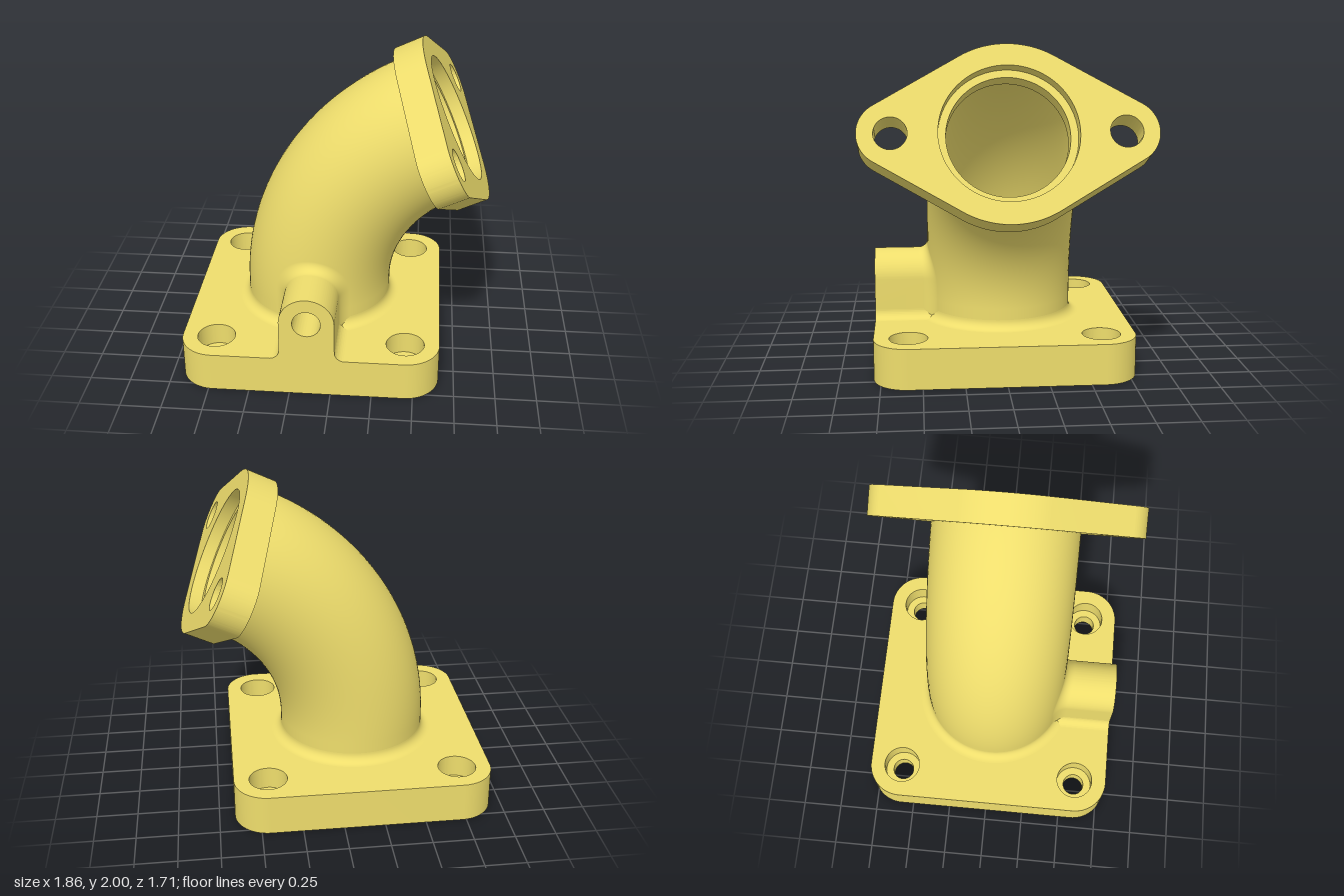
import * as THREE from 'three';
import { toCreasedNormals } from 'three/addons/utils/BufferGeometryUtils.js';
import { ParametricGeometry } from 'three/addons/geometries/ParametricGeometry.js';

const CX = -0.14;              // axis of the base and the pipe foot
const BASE_H = 0.25, BASE_HALF = 0.795;
const OUTER = 0.46, BORE = 0.4; // pipe radii
const BEND_R = 1.17, BEND_Y = 0.38, BEND = THREE.MathUtils.degToRad(65);
const FILLET = 0.06;
const BOSS_R = 0.167, BOSS_Y = 0.505;

const material = new THREE.MeshStandardMaterial({ color: 0xeedd6c, side: THREE.DoubleSide });

function mesh(name, geometry) {
  const m = new THREE.Mesh(geometry, material);
  m.name = name;
  return m;
}

function addHole(shape, x, y, r) {
  shape.holes.push(new THREE.Path().absarc(x, y, r, 0, Math.PI * 2, true));
}

function extrude(shape, depth) {
  const g = new THREE.ExtrudeGeometry(shape, { depth, bevelEnabled: false, curveSegments: 40 });
  return toCreasedNormals(g, 0.5);
}

function ring(outer, inner, depth) {
  const s = new THREE.Shape().absarc(0, 0, outer, 0, Math.PI * 2, false);
  addHole(s, 0, 0, inner);
  return extrude(s, depth);
}

// Square mounting plate with bore and four counterbored bolt holes
function makeBase() {
  const group = new THREE.Group();
  group.name = 'base';
  const r = 0.21, c = BASE_HALF - r, q = Math.PI / 2;
  const s = new THREE.Shape();
  [[c, c], [-c, c], [-c, -c], [c, -c]].forEach(([x, y], i) => s.absarc(x, y, r, i * q, (i + 1) * q, false));
  s.closePath();
  addHole(s, 0, 0, BORE);
  for (const x of [-0.585, 0.585]) for (const z of [-0.585, 0.585]) {
    addHole(s, x, z, 0.117);
    const seat = mesh('boltHoleSeat', ring(0.117, 0.068, 0.11).rotateX(-q));
    seat.position.set(x, 0, z);
    group.add(seat);
  }
  group.add(mesh('basePlate', extrude(s, BASE_H).rotateX(-q)));
  group.position.x = CX;
  return group;
}

// Pipe: short straight foot, then a 65 degree bend; outside and inside walls
function makePipe() {
  const group = new THREE.Group();
  group.name = 'pipe';
  const h = BEND_Y - BASE_H;
  for (const [label, r] of [['Outside', OUTER], ['Inside', BORE]]) {
    const foot = mesh('pipeFoot' + label, new THREE.CylinderGeometry(r, r, h, 80, 1, true));
    foot.position.set(CX, BASE_H + h / 2, 0);
    const bend = mesh('pipeBend' + label,
      new THREE.TorusGeometry(BEND_R, r, 80, 64, BEND).rotateZ(Math.PI - BEND));
    bend.position.set(CX + BEND_R, BEND_Y, 0);
    group.add(foot, bend);
  }
  // Rounded transition from plate to pipe
  const profile = [];
  for (let i = 0; i <= 10; i++) {
    const a = (i / 10) * Math.PI / 2;
    profile.push(new THREE.Vector2(
      OUTER + FILLET * (1 - Math.sin(a)), BASE_H + FILLET * (1 - Math.cos(a))));
  }
  const fillet = mesh('pipeFootFillet', new THREE.LatheGeometry(profile, 80));
  fillet.position.x = CX;
  group.add(fillet);
  return group;
}

// Two-bolt oval flange; local z is the pipe axis
function makeFlange() {
  const group = new THREE.Group();
  group.name = 'flange';
  const big = 0.53, small = 0.19, reach = 0.665, depth = 0.188;
  const t = Math.acos((big - small) / reach); // tangent point angle
  const s = new THREE.Shape();
  s.absarc(reach, 0, small, -t, t, false);
  s.absarc(0, 0, big, t, Math.PI - t, false);
  s.absarc(-reach, 0, small, Math.PI - t, Math.PI + t, false);
  s.absarc(0, 0, big, Math.PI + t, 2 * Math.PI - t, false);
  s.closePath();
  addHole(s, 0, 0, BORE);
  for (const x of [-reach, reach]) addHole(s, x, 0, 0.095);
  group.add(mesh('flangePlate', extrude(s, depth)));
  // Inner lip, recessed below the face
  group.add(mesh('flangeLip', ring(BORE, 0.355, depth - 0.08)));

  const axis = new THREE.Vector3(Math.sin(BEND), Math.cos(BEND), 0);
  const side = new THREE.Vector3(0, 0, -1);
  const up = new THREE.Vector3().crossVectors(axis, side);
  group.quaternion.setFromRotationMatrix(new THREE.Matrix4().makeBasis(side, up, axis));
  group.position.set(CX + BEND_R * (1 - Math.cos(BEND)), BEND_Y + BEND_R * Math.sin(BEND), 0);
  return group;
}

// Front z of the pipe's outside at a point (x from the pipe axis, y)
function pipeZ(x, y) {
  const d = y > BEND_Y ? BEND_R - Math.hypot(BEND_R - x, y - BEND_Y) : x;
  return Math.sqrt(Math.max(0, OUTER * OUTER - d * d));
}

// Arched boss on the front with a blind hole and rounded joints
function makeBoss() {
  const group = new THREE.Group();
  group.name = 'boss';
  const w = BOSS_R, f = FILLET, y0 = BASE_H, back = 0.403;
  const s = new THREE.Shape();
  s.moveTo(-w - f, y0);
  s.absarc(-w - f, y0 + f, f, -Math.PI / 2, 0, false);
  s.absarc(0, BOSS_Y, w, Math.PI, 0, true);
  s.absarc(w + f, y0 + f, f, Math.PI, Math.PI * 1.5, false);
  s.closePath();
  addHole(s, 0, BOSS_Y, 0.085);
  const body = mesh('bossBody', extrude(s, BASE_HALF - back));
  body.position.z = back;
  group.add(body);

  // Fillet follows the arched outline where the boss meets the pipe
  const straight = BOSS_Y - y0, arch = Math.PI * w;
  const joint = (u, v, target) => {
    const l = u * (2 * straight + arch);
    let angle = 0, y = BOSS_Y;
    if (l < straight) y = y0 + l;
    else if (l < straight + arch) angle = (l - straight) / w;
    else { angle = Math.PI; y = y0 + 2 * straight + arch - l; }
    const a = v * Math.PI / 2, r = w + f * (1 - Math.sin(a));
    const px = r * Math.cos(angle), py = y + r * Math.sin(angle);
    target.set(px, py, pipeZ(px, py) + f * (1 - Math.cos(a)));
  };
  group.add(mesh('bossFillet', new ParametricGeometry(joint, 64, 10)));
  group.position.x = CX;
  return group;
}

export function createModel() {
  const model = new THREE.Group();
  model.name = 'pipeElbow';
  model.add(makeBase(), makePipe(), makeFlange(), makeBoss());
  return model;
}
